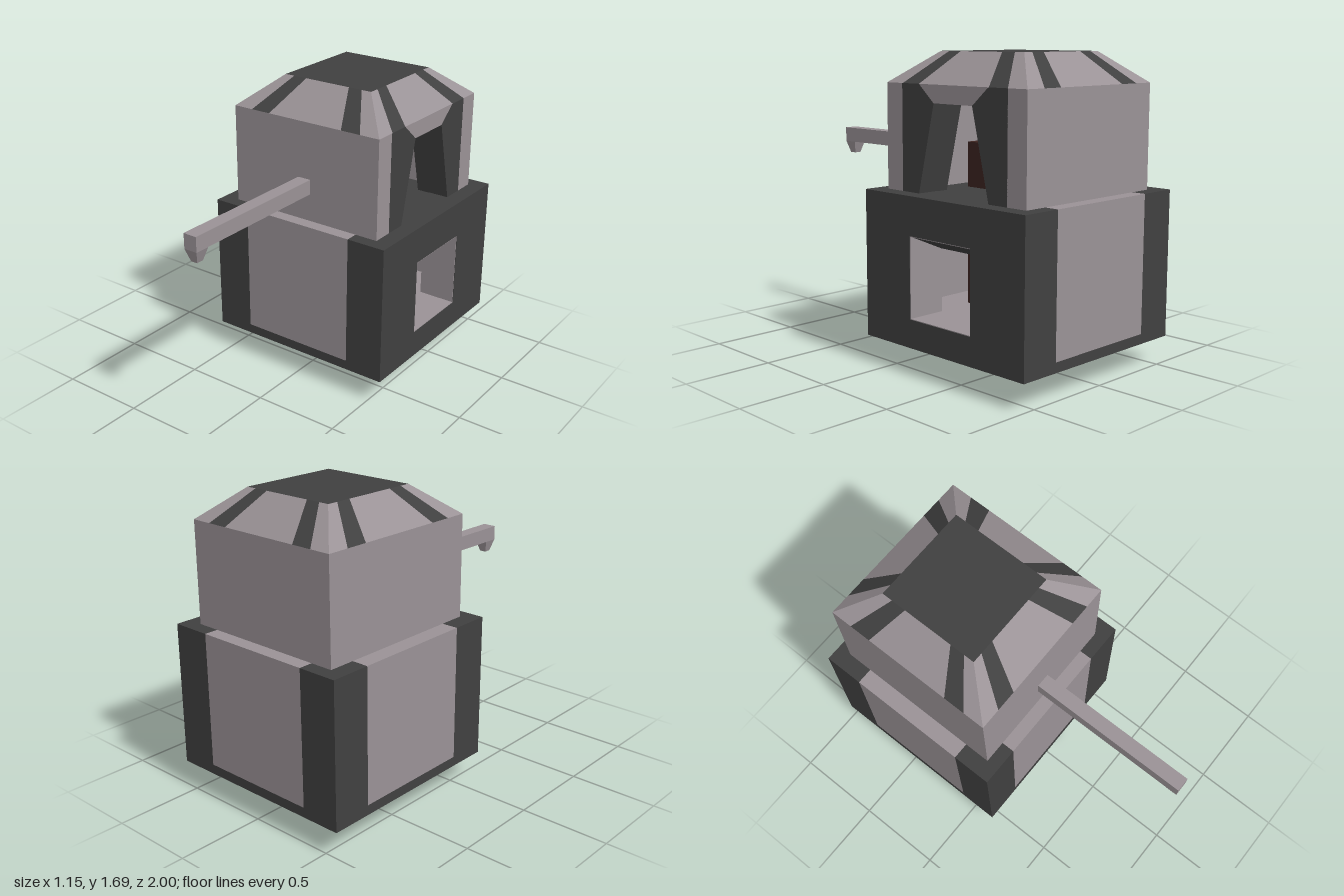
import * as THREE from 'three';

const mat = (color, side = THREE.FrontSide) =>
  new THREE.MeshStandardMaterial({ color, flatShading: true, side });
const light = mat(0x9a9296), dark = mat(0x404040), brown = mat(0x3c2420);
const steel = new THREE.MeshStandardMaterial({ color: 0x808080 });

export function createModel() {
  const model = new THREE.Group();
  const add = (name, geometry, material, parent = model) => {
    const mesh = new THREE.Mesh(geometry, material);
    mesh.name = name;
    parent.add(mesh);
    return mesh;
  };
  const group = (name) => {
    const g = new THREE.Group();
    g.name = name;
    model.add(g);
    return g;
  };
  // Box given by its limits on each axis
  const box = (name, material, x0, x1, y0, y1, z0, z1, parent) =>
    add(name, new THREE.BoxGeometry(x1 - x0, y1 - y0, z1 - z0), material, parent)
      .position.set((x0 + x1) / 2, (y0 + y1) / 2, (z0 + z1) / 2);
  const shapeOf = (pts) => new THREE.Shape(pts.map(([a, b]) => new THREE.Vector2(a, b)));
  const rect = (a0, a1, b0, b1) => [[a0, b0], [a1, b0], [a1, b1], [a0, b1]];
  // Wall facing +x: points are (-z, y), extruded from x0 to x1
  const sideWall = (name, material, pts, x0, x1, hole, parent) => {
    const shape = shapeOf(pts);
    if (hole) shape.holes.push(shapeOf(hole));
    const geo = new THREE.ExtrudeGeometry(shape, { depth: x1 - x0, bevelEnabled: false });
    geo.rotateY(Math.PI / 2).translate(x0, 0, 0);
    return add(name, geo, material, parent);
  };

  // Base: floor, front and back walls with inset light panels
  const base = group('base');
  box('bottomPlate', dark, -0.575, 0.575, 0.145, 0.2, -1, 0.155, base);
  box('innerFloor', light, -0.47, 0.356, 0.2, 0.3, -0.88, 0.035, base);
  for (const [end, z0, z1] of [['front', 0.035, 0.155], ['back', -1, -0.88]]) {
    box(end + 'Panel', light, -0.35, 0.345, 0.2, 0.955, z0, z1, base);
    box(end + 'RightPost', dark, -0.575, -0.35, 0.2, 0.955, z0, z1, base);
    box(end + 'LeftPost', dark, 0.345, 0.575, 0.2, 0.955, z0, z1, base);
  }
  // Base right wall
  box('rightPanel', light, -0.575, -0.455, 0.2, 0.955, -0.77, -0.07, base);
  box('rightFrontPost', dark, -0.575, -0.455, 0.2, 0.955, -0.07, 0.035, base);
  box('rightBackPost', dark, -0.575, -0.455, 0.2, 0.955, -0.88, -0.77, base);
  // Base left wall with window
  sideWall('windowWall', dark, rect(-0.035, 0.88, 0.2, 0.955), 0.355, 0.575,
    rect(0.195, 0.64, 0.3, 0.745), base);
  sideWall('windowLining', light, rect(0.195, 0.64, 0.3, 0.745), 0.35, 0.573,
    rect(0.199, 0.636, 0.304, 0.741), base);
  const lintel = new THREE.ExtrudeGeometry(
    shapeOf([[0.57, 0.742], [0.355, 0.742], [0.355, 0.65]]),
    { depth: 0.437, bevelEnabled: false }).translate(0, 0, -0.636);
  add('slopedLintel', lintel, dark, base);
  box('baseCover', dark, -0.5, 0.4, 0.91, 0.953, -0.9, 0.05, base);

  // Cabin walls
  const cabin = group('cabin');
  box('frontWall', light, -0.48, 0.48, 0.95, 1.525, -0.04, 0.08, cabin);
  box('backWall', light, -0.48, 0.48, 0.95, 1.525, -0.92, -0.795, cabin);
  box('rightWall', light, -0.48, -0.36, 0.95, 1.525, -0.795, -0.04, cabin);
  // Tapered doorway on the left side
  const jamb = [[0.04, 0.95], [0.165, 0.95], [0.28, 1.43], [0.17, 1.525], [0.04, 1.525]];
  sideWall('frontJamb', dark, jamb, 0.28, 0.48, null, cabin);
  sideWall('backJamb', dark, jamb.map(([a, b]) => [0.836 - a, b]).reverse(), 0.28, 0.48, null, cabin);
  const header = [[0.28, 1.43], [0.556, 1.43], [0.666, 1.525], [0.17, 1.525]];
  sideWall('header', light, header, 0.46, 0.48, null, cabin);
  sideWall('headerCore', dark, header, 0.28, 0.46, null, cabin);

  // Hipped roof: each slope is split into alternating light and dark strips
  const eaveCuts = [-1, -0.75, -0.5, 0.5, 0.75, 1];
  const topCuts = [-1, -0.79, -0.5, 0.5, 0.79, 1];
  const quads = { light: [], dark: [] };
  const quad = (list, a, b, c, d) => list.push(...a, ...b, ...c, ...a, ...c, ...d);
  for (let side = 0; side < 4; side++) {
    const turn = side * Math.PI / 2, c = Math.cos(turn), s = Math.sin(turn);
    const at = (u, top) => [
      (u * c + s) * (top ? 0.285 : 0.48),
      top ? 1.69 : 1.525,
      (c - u * s) * (top ? 0.295 : 0.5) - (top ? 0.425 : 0.42)];
    for (let i = 0; i < 5; i++) {
      quad(i % 2 ? quads.dark : quads.light,
        at(eaveCuts[i], false), at(eaveCuts[i + 1], false),
        at(topCuts[i + 1], true), at(topCuts[i], true));
    }
  }
  const roof = group('roof');
  for (const [name, material] of [['light', light], ['dark', dark]]) {
    const geo = new THREE.BufferGeometry();
    geo.setAttribute('position', new THREE.Float32BufferAttribute(quads[name], 3));
    geo.computeVertexNormals();
    add(name + 'RoofStrips', geo, material, roof);
  }
  box('roofCap', dark, -0.285, 0.285, 1.67, 1.69, -0.72, -0.13, roof);
  box('ceiling', dark, -0.47, 0.47, 1.5, 1.523, -0.91, 0.07, roof);

  // Beam with a tapered hook at its tip
  const beam = group('beam');
  box('beamArm', light, -0.04, 0.04, 1.115, 1.2, 0.05, 1, beam);
  const hook = new THREE.BoxGeometry(0.08, 0.07, 0.085);
  const p = hook.attributes.position;
  for (let i = 0; i < p.count; i++) {
    if (p.getY(i) < 0) p.setXYZ(i, p.getX(i) * 0.5, p.getY(i), p.getZ(i) * 0.5);
  }
  hook.computeVertexNormals();
  add('beamHook', hook, light, beam).position.set(0, 1.08, 0.9575);

  // Upright board through the middle, with a pointed spindle let into its face
  box('board', brown, -0.065, 0.11, 0, 1.2, -0.68, -0.155);
  const profile = [[0, 0.052], [0.02, 0.058], [0.032, 0.078], [0.032, 0.092], [0.018, 0.112],
    [0.018, 0.16], [0.075, 0.2], [0.075, 0.88], [0.012, 1.07], [0, 1.075]];
  const spindle = new THREE.LatheGeometry(profile.map(([r, y]) => new THREE.Vector2(r, y)), 24);
  add('spindle', spindle, steel).position.set(0.085, 0, -0.412);

  return model;
}
